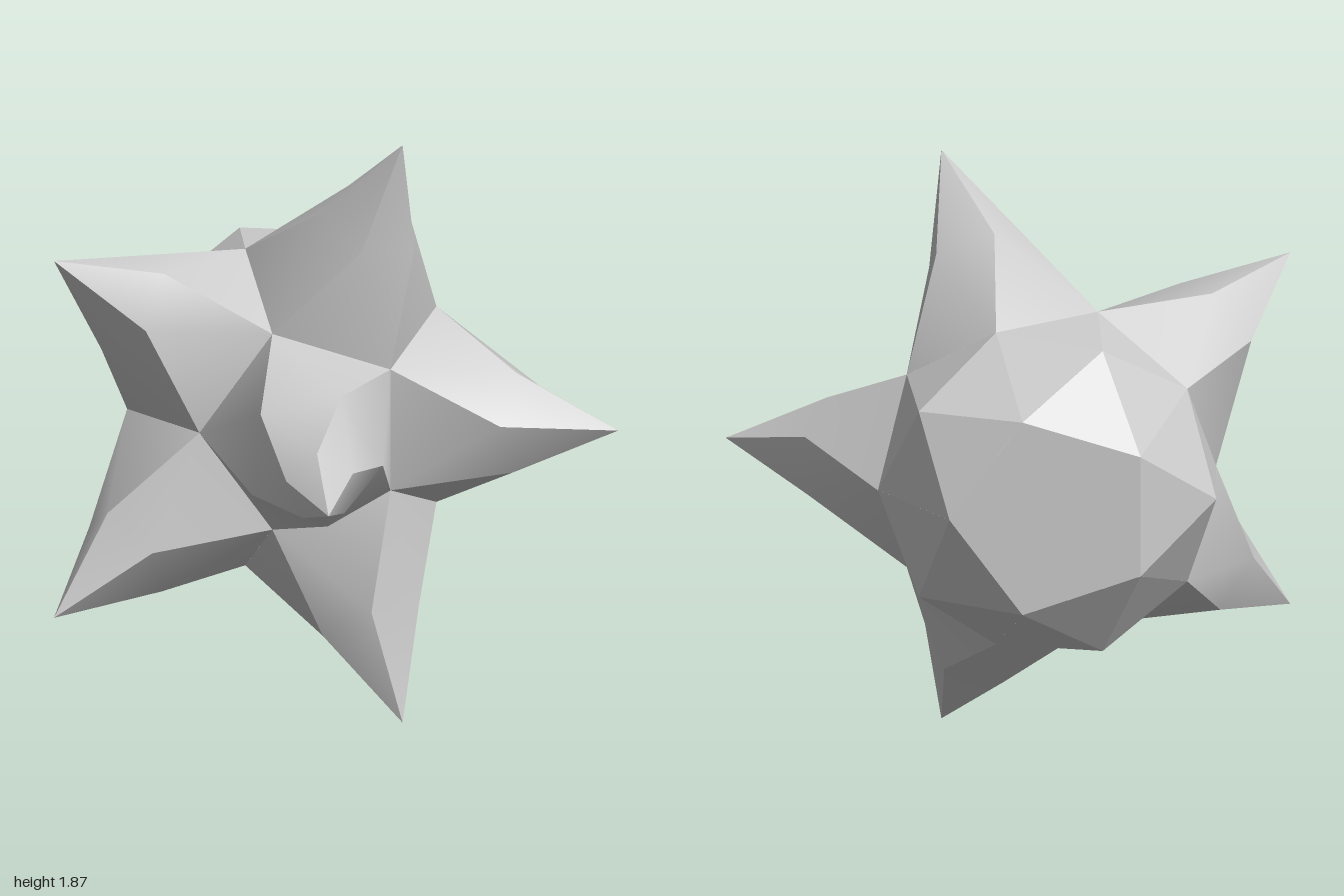
import * as THREE from 'three';
import { mergeGeometries } from 'three/addons/utils/BufferGeometryUtils.js';

const R = 0.549;             // circumradius of the dodecahedral core
const INNER = R * 0.7947;    // core centre to face centre
const BASE = R * 0.607;      // radius of each pentagon face
const TWIST = Math.PI / 6;   // turn per spike level
const STEP = Math.PI * 2 / 5;

// Pentagonal pyramid on the core face with outward axis d; u points to one base corner.
// Each of the five sides is smooth along its length and creased against its neighbours.
function pyramid(d, u, tip, levels) {
  const v = new THREE.Vector3().crossVectors(d, u);
  const point = (corner, level) => {
    const t = level / levels, r = BASE * (1 - t);
    const a = corner * STEP + level * TWIST;
    return new THREE.Vector3()
      .addScaledVector(d, INNER + (tip - INNER) * t)
      .addScaledVector(u, r * Math.cos(a))
      .addScaledVector(v, r * Math.sin(a));
  };
  const sides = [];
  for (let k = 0; k < 5; k++) {
    const pos = [], index = [];
    for (let l = 0; l < levels; l++) {
      pos.push(...point(k, l).toArray(), ...point(k + 1, l).toArray());
      const a = l * 2, b = a + 1;
      index.push(a, b, a + 2);
      if (l < levels - 1) index.push(b, a + 3, a + 2);
    }
    pos.push(...point(0, levels).toArray());
    const g = new THREE.BufferGeometry();
    g.setAttribute('position', new THREE.Float32BufferAttribute(pos, 3));
    g.setIndex(index);
    g.computeVertexNormals();
    sides.push(g);
  }
  return mergeGeometries(sides);
}

export function createModel() {
  const model = new THREE.Group();
  model.name = 'spikedStar';
  const grey = new THREE.MeshStandardMaterial({ color: 0xcccccc });
  grey.name = 'light grey';

  const add = (name, d, u, tip, levels) => {
    const mesh = new THREE.Mesh(pyramid(d, u, tip, levels), grey);
    mesh.name = name;
    mesh.position.set(-0.094, 0.941, -0.566);
    model.add(mesh);
  };

  const c = 2 / Math.sqrt(5), s = 1 / Math.sqrt(5);
  const flat = (a) => new THREE.Vector3(Math.cos(a), Math.sin(a), 0);

  // Long front spike and flat back face
  add('frontSpike', new THREE.Vector3(0, 0, 1), flat(STEP / 2), 1.566, 3);
  add('backFace', new THREE.Vector3(0, 0, -1), flat(0), INNER, 1);

  for (let i = 0; i < 5; i++) {
    // Ring of five twisted spikes
    const a = i * STEP;
    add('ringSpike' + (i + 1), flat(a).multiplyScalar(c).setZ(s),
      flat(a).multiplyScalar(s).setZ(-c), 1.1, 2);
    // Low pyramids around the back
    const b = a + STEP / 2;
    add('backFacet' + (i + 1), flat(b).multiplyScalar(c).setZ(-s),
      flat(b).multiplyScalar(s).setZ(c), 0.58, 1);
  }
  return model;
}
